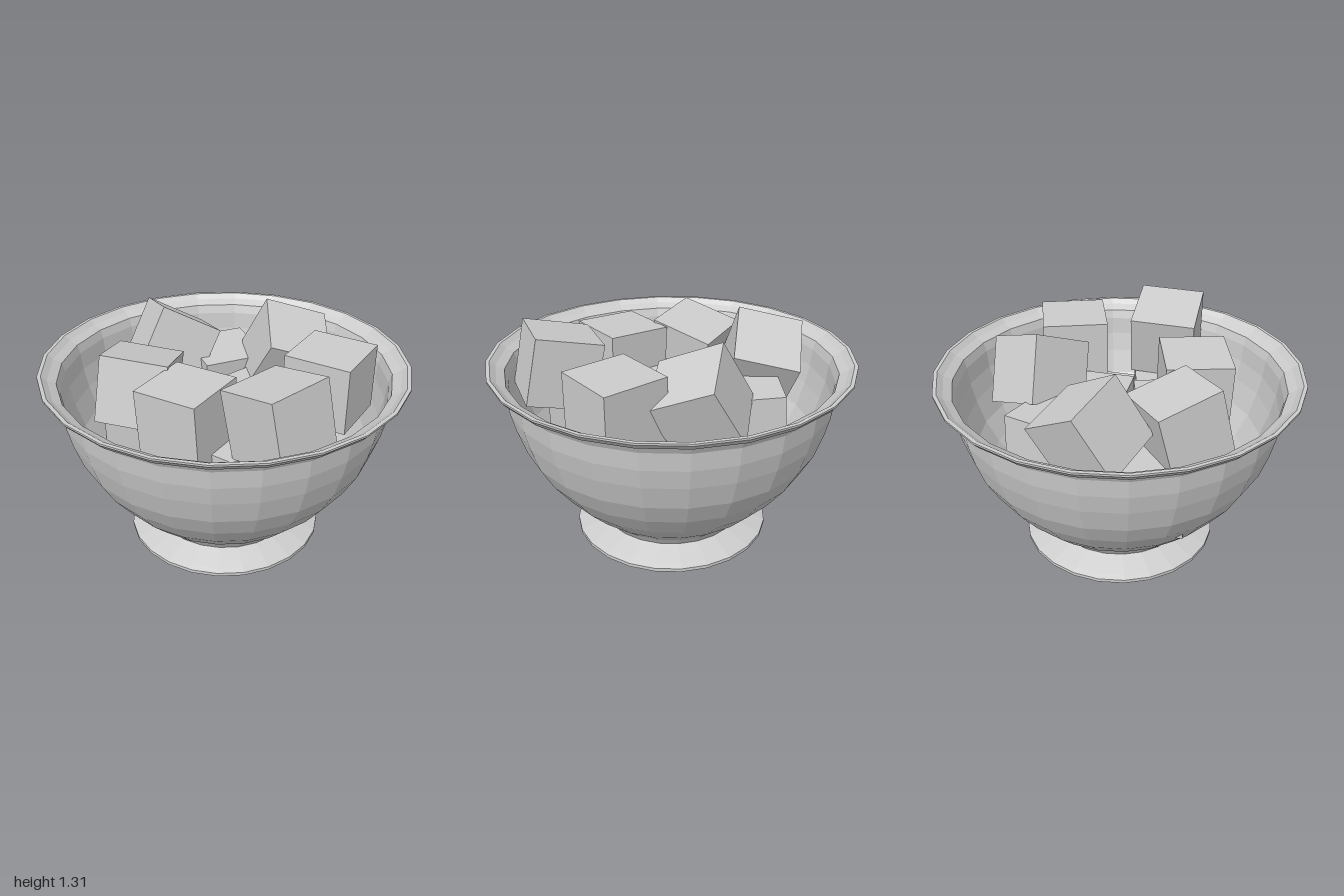
import * as THREE from 'three';

const SIDE = 0.368; // edge of every cube

export function createModel() {
  const model = new THREE.Group();
  model.name = 'bowlOfCubes';
  const grey = new THREE.MeshStandardMaterial({ color: 0xcccccc, flatShading: true });
  grey.name = 'light grey';

  // Footed bowl: one closed profile, underside -> foot -> outer wall -> rim -> inner wall
  const profile = [
    [0, 0.005], [0.46, 0.02], [0.56, 0.05], [0.56, 0.07], [0.53, 0.082],
    [0.43, 0.12], [0.41, 0.128], [0.44, 0.175], [0.55, 0.27], [0.66, 0.385],
    [0.76, 0.52], [0.83, 0.65], [0.875, 0.79], [0.9, 0.9], [0.91, 1.0],
    [0.93, 1.04], [0.975, 1.06], [1.0, 1.09], [1.0, 1.1], [0.98, 1.1],
    [0.95, 1.075], [0.905, 1.05], [0.89, 1.0], [0.88, 0.9], [0.855, 0.79],
    [0.81, 0.65], [0.74, 0.53], [0.64, 0.4], [0.53, 0.29], [0.41, 0.2], [0, 0.15],
  ].map(([r, y]) => new THREE.Vector2(r, y));
  const bowl = new THREE.Mesh(new THREE.LatheGeometry(profile, 24), grey);
  bowl.name = 'bowl';
  model.add(bowl);

  // Cubes: centre, then the directions of two of the edges
  const cubes = {
    backCube: [[0.01, 1.02, -0.455], [33, -22, -56], [49, -27, 40]],
    leftCube: [[-0.524, 1.01, -0.037], [-63, -15, -25], [29, -33, -53]],
    frontLeftCube: [[-0.273, 0.967, 0.377], [-41, -15, -51], [54, -6, -42]],
    frontCube: [[0.162, 0.975, 0.39], [-67, -3, 19], [18, -1, 67]],
    rightCube: [[0.593, 1.066, 0.166], [-67, -15, -1], [0, 2, -69]],
    backRightCube: [[0.433, 1.02, -0.369], [65, 0, -21], [21, 0, 65]],
    middleCube: [[0.065, 0.74, -0.155], [70, 0, 2], [-2, 0, 70]],
    lowerRightCube: [[0.31, 0.62, -0.2], [70, 0, 3], [-3, 0, 70]],
    backLeftCube: [[-0.335, 0.8, -0.28], [62, -4, 20], [-18, 0, 65]],
    lowerFrontCube: [[0.05, 0.75, 0.27], [66, 0, -18], [18, 0, 66]],
    lowerFrontRightCube: [[0.41, 0.66, 0.2], [67, 0, -16], [16, 0, 67]],
    lowerFrontLeftCube: [[-0.37, 0.62, 0.27], [70, 0, 0], [0, 0, 70]],
  };
  const box = new THREE.BoxGeometry(SIDE, SIDE, SIDE);
  for (const [name, [centre, a, b]] of Object.entries(cubes)) {
    const x = new THREE.Vector3(...a).normalize();
    const z = x.clone().cross(new THREE.Vector3(...b)).normalize();
    const y = z.clone().cross(x);
    const cube = new THREE.Mesh(box, grey);
    cube.name = name;
    cube.position.set(...centre);
    cube.quaternion.setFromRotationMatrix(new THREE.Matrix4().makeBasis(x, y, z));
    model.add(cube);
  }
  return model;
}
